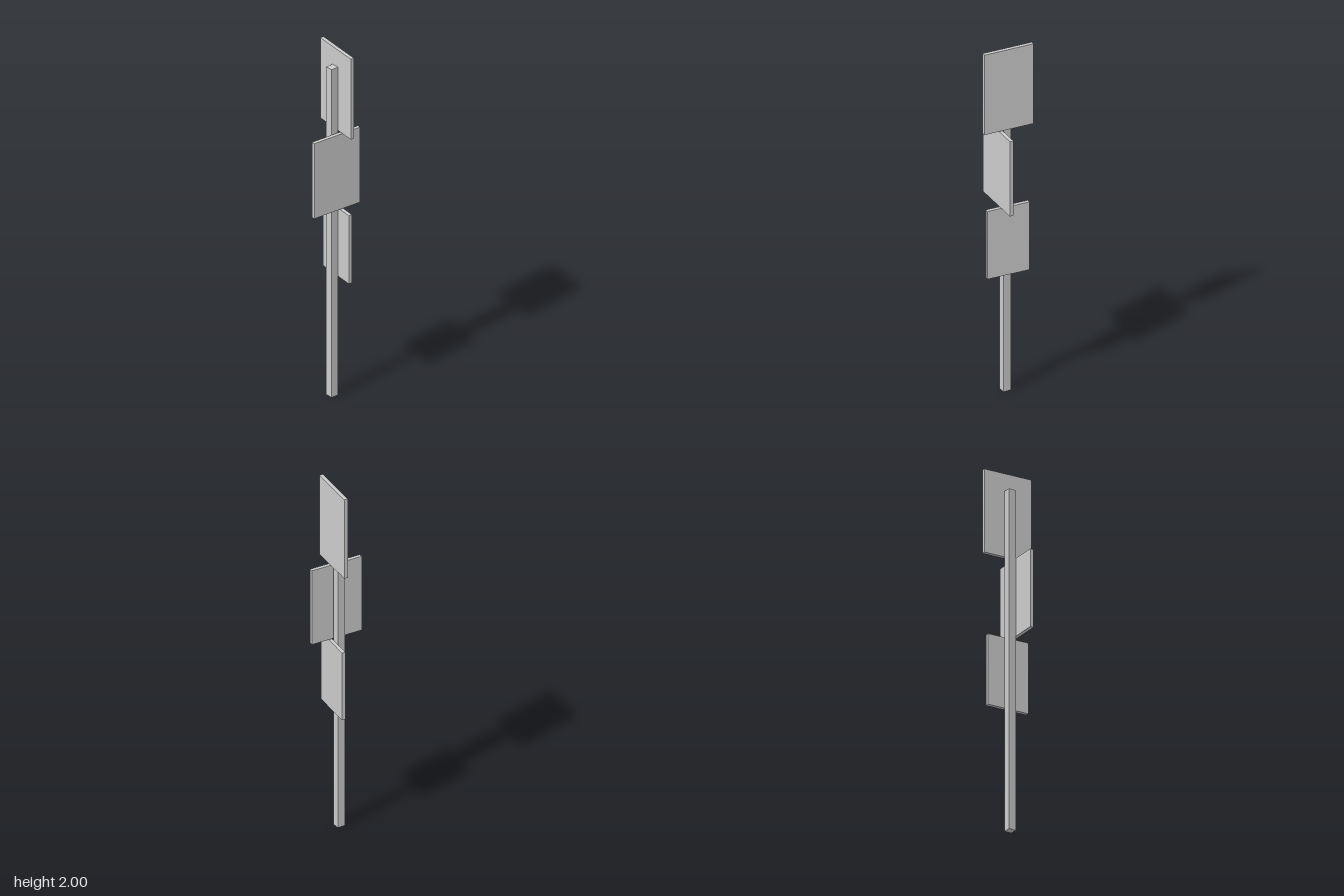
import * as THREE from 'three';

export function createModel() {
  const group = new THREE.Group();
  const material = new THREE.MeshStandardMaterial({ color: 0xcccccc, flatShading: true });

  // Box spanning y0..y1, centred on (x, z) and turned about the vertical
  function addBox(name, width, depth, y0, y1, x, z, turn = 0) {
    const mesh = new THREE.Mesh(new THREE.BoxGeometry(width, y1 - y0, depth), material);
    mesh.name = name;
    mesh.position.set(x, (y0 + y1) / 2, z);
    mesh.rotation.y = turn;
    group.add(mesh);
  }

  // Square post
  addBox('post', 0.042, 0.042, 0, 1.9, 0.004, -0.003);

  // Sign boards: two on the left face of the post, one on the front face
  const thickness = 0.02;
  addBox('topBoard', thickness, 0.275, 1.535, 2, 0.036, -0.001, -0.095);
  addBox('middleBoard', 0.29, thickness, 1.09, 1.525, -0.001, 0.034, -0.05);
  addBox('lowerBoard', thickness, 0.235, 0.69, 1.085, 0.036, 0.001, -0.1);

  return group;
}
